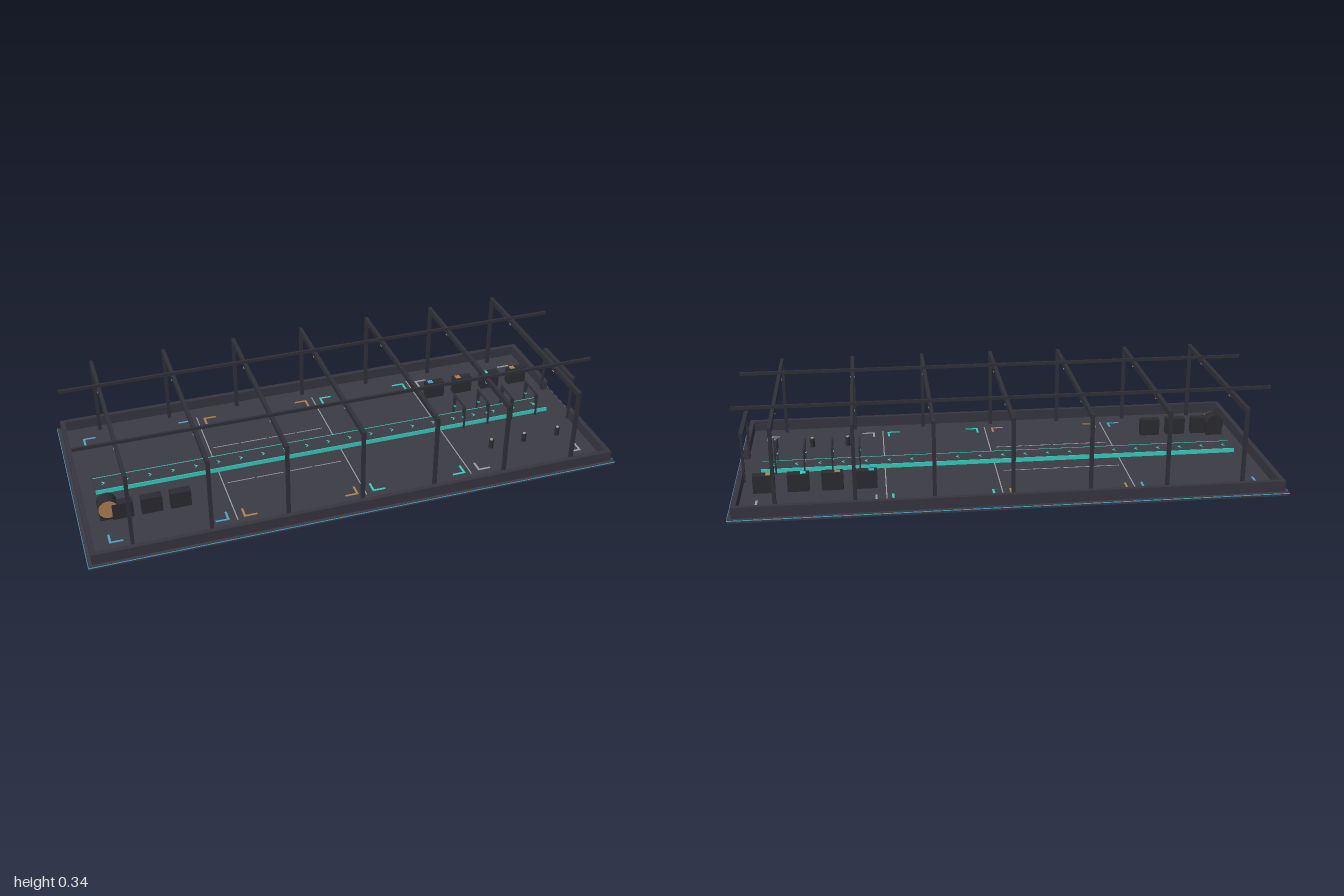
import * as THREE from 'three';

const mat = (name, color) => {
  const m = new THREE.MeshStandardMaterial({ color });
  m.name = name;
  return m;
};

export function createModel() {
  const root = new THREE.Group();
  root.name = 'processingHall';

  const floorMat = mat('floorCharcoal', 0x3b3b45);
  const wallMat = mat('wallCharcoal', 0x373640);
  const frameMat = mat('frameDark', 0x303038);
  const machineMat = mat('machineDark', 0x2b2c31);
  const blue = mat('signalBlue', 0x4aa3cc);
  const teal = mat('signalTeal', 0x35d0c0);
  const orange = mat('signalOrange', 0xb0824f);
  const grey = mat('paleGrey', 0x9a9ca6);

  const FLOOR = 0.012;
  const group = (name, parent = root) => {
    const g = new THREE.Group();
    g.name = name;
    parent.add(g);
    return g;
  };
  // Box given by its extents on each axis
  const box = (name, m, x0, x1, y0, y1, z0, z1, parent = root) => {
    const mesh = new THREE.Mesh(new THREE.BoxGeometry(x1 - x0, y1 - y0, z1 - z0), m);
    mesh.position.set((x0 + x1) / 2, (y0 + y1) / 2, (z0 + z1) / 2);
    mesh.name = name;
    parent.add(mesh);
    return mesh;
  };
  // Thin painted marking on the floor
  const paint = (name, m, x0, x1, z0, z1, parent) =>
    box(name, m, x0, x1, FLOOR, FLOOR + 0.0015, z0, z1, parent);

  // Base slab with a luminous edge trim
  box('floorSlab', floorMat, -0.998, 0.998, 0, FLOOR, -0.438, 0.438);
  const trim = group('edgeTrim');
  for (const s of [-1, 1]) {
    box('longTrim', blue, -1, 1, 0.008, 0.0105, s * 0.439 - 0.001, s * 0.439 + 0.001, trim);
    box('endTrim', blue, s * 0.999 - 0.001, s * 0.999 + 0.001, 0.008, 0.0105, -0.44, 0.44, trim);
  }

  // Low walls, open at the right end for the gate
  const walls = group('perimeterWall');
  for (const s of [-1, 1]) {
    box('longWall', wallMat, -0.985, 0.985, FLOOR, 0.053, s * 0.418 - 0.009, s * 0.418 + 0.009, walls);
    const a = s * 0.257;
    box('gateSideWall', wallMat, 0.967, 0.985, FLOOR, 0.053, a - 0.152, a + 0.152, walls);
  }
  box('endWall', wallMat, -0.985, -0.967, FLOOR, 0.053, -0.409, 0.409, walls);

  // Portal frame spanning z: two posts and a beam
  const portal = (name, x, halfZ, top, t, beamH, parent = root) => {
    const g = group(name, parent);
    const h = t / 2;
    for (const s of [-1, 1]) {
      const z = s * (halfZ - h);
      box('post', frameMat, x - h, x + h, FLOOR, top - beamH, z - h, z + h, g);
    }
    box('beam', frameMat, x - h, x + h, top - beamH, top, -halfZ, halfZ, g);
    return g;
  };

  // Main roof frames with lamp strips, joined by two long rails
  const roof = group('roofFrames');
  for (let i = -3; i <= 3; i++) {
    const x = i * 0.279;
    const g = portal('roofFrame', x, 0.39, 0.325, 0.013, 0.02, roof);
    box('lampStrip', grey, x - 0.003, x + 0.003, 0.303, 0.305, -0.37, 0.37, g);
    for (const s of [-1, 1])
      box('lamp', grey, x - 0.008, x + 0.008, 0.3025, 0.305, s * 0.19 - 0.006, s * 0.19 + 0.006, g);
  }
  for (const s of [-1, 1])
    box('roofRail', frameMat, -0.985, 0.985, 0.325, 0.337, s * 0.192 - 0.004, s * 0.192 + 0.004, roof);

  // Entrance gate
  const gate = portal('entranceGate', 0.965, 0.12, 0.203, 0.009, 0.01);
  box('gateHeader', frameMat, 0.957, 0.973, 0.192, 0.206, -0.122, 0.122, gate);

  // Central conveyor with edge lines and direction chevrons
  const lane = group('conveyor');
  box('conveyorDeck', floorMat, -0.915, 0.91, FLOOR, 0.028, -0.038, 0.038, lane);
  for (const s of [-1, 1])
    box('edgeLine', teal, -0.915, 0.91, FLOOR, 0.029, s * 0.0395 - 0.0015, s * 0.0395 + 0.0015, lane);
  const arrow = new THREE.Shape([
    [-0.006, 0.009], [-0.001, 0.009], [0.008, 0], [-0.001, -0.009], [-0.006, -0.009], [0.002, 0],
  ].map(([x, y]) => new THREE.Vector2(x, y)));
  const arrowGeo = new THREE.ExtrudeGeometry(arrow, { depth: 0.0015, bevelEnabled: false });
  arrowGeo.rotateX(-Math.PI / 2);
  for (let i = 0; i < 21; i++) {
    const c = new THREE.Mesh(arrowGeo, teal);
    c.name = 'chevron';
    c.position.set(-0.882 + i * 0.0874, 0.028, 0);
    lane.add(c);
  }

  // Scanner arches over the conveyor with hanging sensors
  for (const x of [0.54, 0.643, 0.747, 0.853]) {
    const g = portal('scannerArch', x, 0.056, 0.11, 0.006, 0.006);
    for (const s of [-1, 1]) {
      const z = s * 0.041;
      box('sensorArm', frameMat, x - 0.002, x + 0.002, 0.06, 0.104, z - 0.002, z + 0.002, g);
      box('sensorMount', frameMat, x - 0.004, x + 0.004, 0.083, 0.104, z - 0.004, z + 0.004, g);
      box('sensorTip', teal, x - 0.004, x + 0.004, 0.055, 0.06, z - 0.004, z + 0.004, g);
    }
  }

  // Corner brackets marking four floor zones
  const zones = [[-0.912, -0.483, blue], [-0.43, 0.003, orange], [0.058, 0.428, teal], [0.48, 0.912, grey]];
  for (const [x0, x1, m] of zones) {
    const g = group('zoneMarking');
    for (const [x, dx] of [[x0, 1], [x1, -1]])
      for (const s of [-1, 1]) {
        const xe = x + dx * 0.05, xi = x + dx * 0.008;
        const z = s * 0.332, ze = s * 0.284, zi = s * 0.324;
        paint('bracketLong', m, Math.min(x, xe), Math.max(x, xe), Math.min(z, zi), Math.max(z, zi), g);
        paint('bracketShort', m, Math.min(x, xi), Math.max(x, xi), Math.min(zi, ze), Math.max(zi, ze), g);
      }
  }

  // Zone dividers and side lines
  const lines = group('floorLines');
  for (const s of [-1, 1]) {
    for (const x of [-0.455, 0.03, 0.447])
      paint('divider', grey, x - 0.002, x + 0.002, s * 0.193 - 0.15, s * 0.193 + 0.15, lines);
    for (let i = 0; i < 4; i++)
      paint('sideLine', grey, -0.44 + i * 0.113, -0.335 + i * 0.113, s * 0.118 - 0.0015, s * 0.118 + 0.0015, lines);
  }

  // Drum with coloured face, followed by a row of cabinets
  const drum = group('drumMachine');
  const cyl = (name, m, r, len, z) => {
    const c = new THREE.Mesh(new THREE.CylinderGeometry(r, r, len, 24), m);
    c.name = name;
    c.rotation.x = Math.PI / 2;
    c.position.set(-0.89, 0.059, z);
    drum.add(c);
  };
  cyl('drumBody', machineMat, 0.036, 0.053, 0.1755);
  cyl('drumFace', orange, 0.035, 0.003, 0.2035);
  box('drumBase', machineMat, -0.922, -0.858, FLOOR, 0.04, 0.15, 0.2, drum);
  for (const x of [-0.84, -0.735, -0.63])
    box('cabinet', machineMat, x - 0.038, x + 0.038, FLOOR, 0.077, 0.175, 0.207);

  // Sorting bins with coloured tags on top
  const bins = [[0.517, blue], [0.64, orange], [0.763, teal], [0.886, orange]];
  for (const [x, m] of bins) {
    const g = group('sortingBin');
    box('binBody', machineMat, x - 0.039, x + 0.039, FLOOR, 0.08, -0.224, -0.192, g);
    box('binTag', m, x - 0.028, x - 0.008, 0.08, 0.082, -0.219, -0.199, g);
  }

  // Bollards with pale caps
  for (const x of [0.588, 0.727, 0.87]) {
    const g = group('bollard');
    g.position.set(x, FLOOR, 0.208);
    const body = new THREE.Mesh(new THREE.CylinderGeometry(0.009, 0.009, 0.036, 12), machineMat);
    body.name = 'bollardBody';
    body.position.y = 0.018;
    const cap = new THREE.Mesh(new THREE.CylinderGeometry(0.006, 0.006, 0.003, 12), grey);
    cap.name = 'bollardCap';
    cap.position.y = 0.0375;
    g.add(body, cap);
  }

  return root;
}
